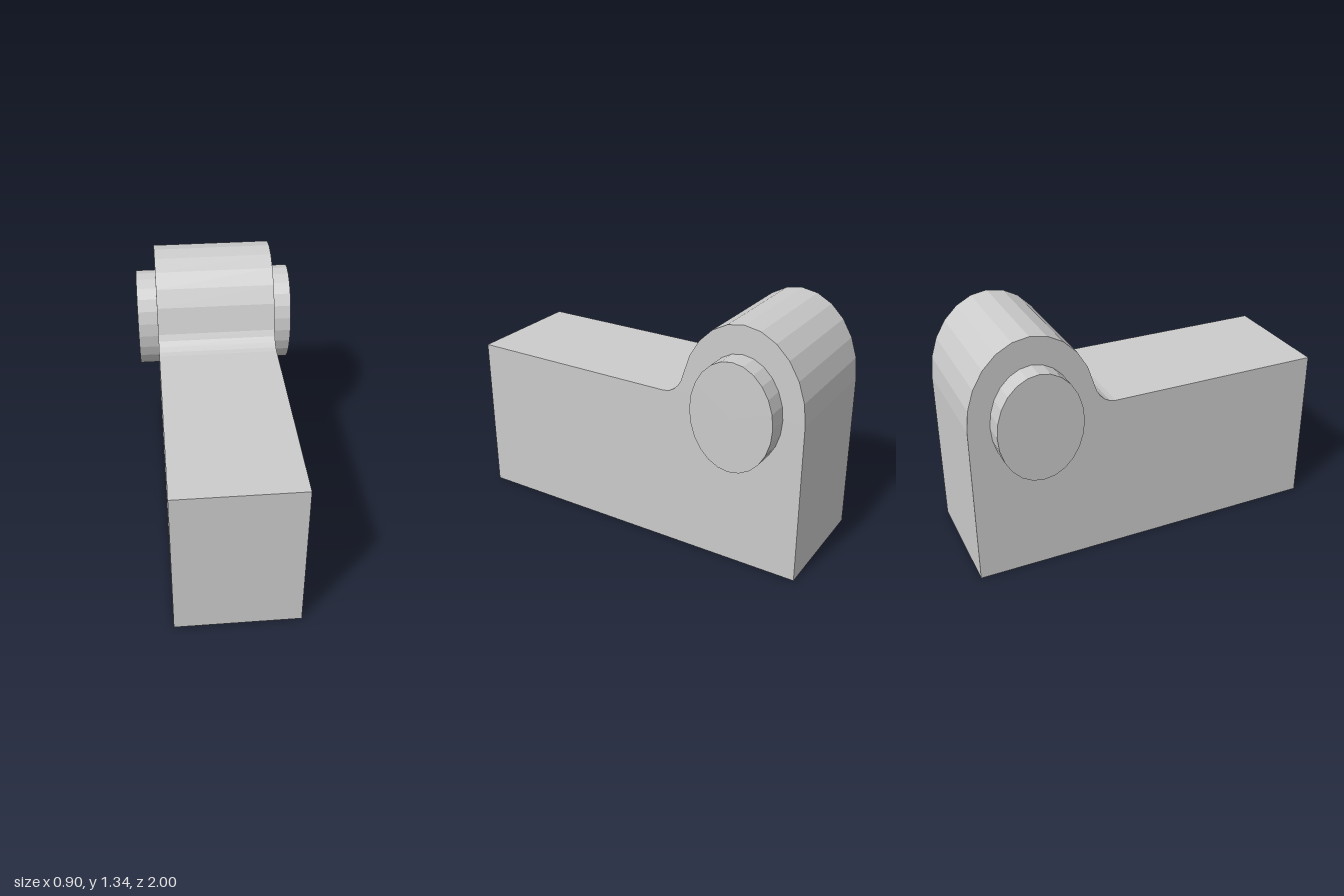
import * as THREE from 'three';

const STRETCH = 1.3;      // height to depth ratio of the round parts
const AXIS_Y = 0.896;     // top of the flat bed and axis of the pin
const AXIS_Z = -0.656;
const BODY_WIDTH = 0.674;
const PIN_WIDTH = 0.9;

const material = new THREE.MeshStandardMaterial({ color: 0xcccccc, flatShading: true });

// Points of an arc in the stretched space around the pin axis
function arc(cz, cy, radius, from, to, segments) {
  const points = [];
  for (let i = 0; i <= segments; i++) {
    const a = from + (to - from) * i / segments;
    points.push(new THREE.Vector2(
      AXIS_Z + cz + radius * Math.cos(a),
      AXIS_Y + STRETCH * (cy + radius * Math.sin(a))
    ));
  }
  return points;
}

export function createModel() {
  const group = new THREE.Group();

  // Side profile (z, y): flat bed, fillet tangent to the arch, arch, straight back
  const R = 0.344, r = 0.122;
  const d = Math.sqrt(R * R + 2 * R * r);
  const tangent = Math.atan2(r, d);
  const profile = [
    new THREE.Vector2(1, 0),
    new THREE.Vector2(1, AXIS_Y),
    ...arc(d, r, r, Math.PI * 1.5, Math.PI + tangent, 5),
    ...arc(0, 0, R, tangent, Math.PI, 11).slice(1),
    new THREE.Vector2(-1, 0),
  ];
  const bodyGeometry = new THREE.ExtrudeGeometry(new THREE.Shape(profile), {
    depth: BODY_WIDTH, bevelEnabled: false,
  });
  bodyGeometry.translate(0, 0, -BODY_WIDTH / 2).rotateY(-Math.PI / 2);
  const body = new THREE.Mesh(bodyGeometry, material);
  body.name = 'body';
  group.add(body);

  // Oval pin passing through the arch and standing out on both sides
  const pinGeometry = new THREE.CylinderGeometry(0.228, 0.228, PIN_WIDTH, 24);
  pinGeometry.rotateZ(Math.PI / 2).scale(1, STRETCH, 1);
  const pin = new THREE.Mesh(pinGeometry, material);
  pin.name = 'pin';
  pin.position.set(0, AXIS_Y, AXIS_Z);
  group.add(pin);

  return group;
}
